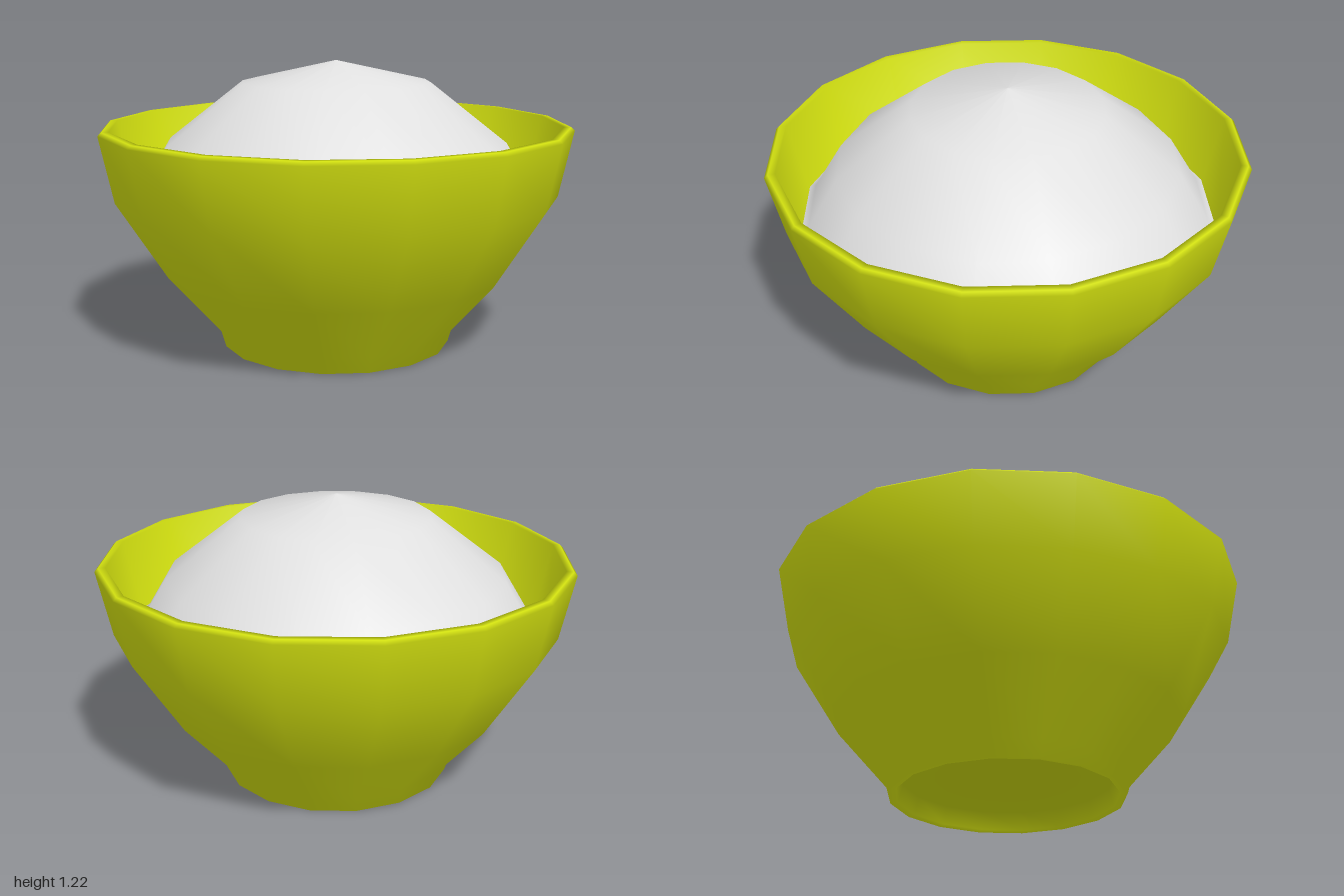
import * as THREE from 'three';

const SIDES = 16;

// Smooth revolved part from [radius, height] pairs
function lathe(name, profile, material) {
  const points = profile.map(([r, y]) => new THREE.Vector2(r, y));
  const mesh = new THREE.Mesh(new THREE.LatheGeometry(points, SIDES), material);
  mesh.name = name;
  return mesh;
}

export function createModel() {
  const group = new THREE.Group();
  group.name = 'riceBowl';
  const lime = new THREE.MeshStandardMaterial({ color: 0xd2e010 });
  lime.name = 'limeGlaze';
  const white = new THREE.MeshStandardMaterial({ color: 0xe0e0e0 });
  white.name = 'riceWhite';

  // Bowl: hollow underside, foot, outer wall, rim, then inner wall to the floor
  group.add(lathe('bowl', [
    [0, 0.09], [0.44, 0.08], [0.46, 0.005], [0.49, 0],
    [0.51, 0.07], [0.73, 0.32], [0.94, 0.65], [1, 0.93],
    [0.985, 0.945], [0.955, 0.945],
    [0.89, 0.66], [0.68, 0.36], [0.42, 0.14], [0, 0.12],
  ], lime));

  // Rice: rounded mound that flattens where it meets the bowl
  group.add(lathe('riceMound', [
    [0.89, 0.64], [0.85, 0.66], [0.72, 0.875], [0.4, 1.125], [0, 1.215],
  ], white));

  return group;
}
